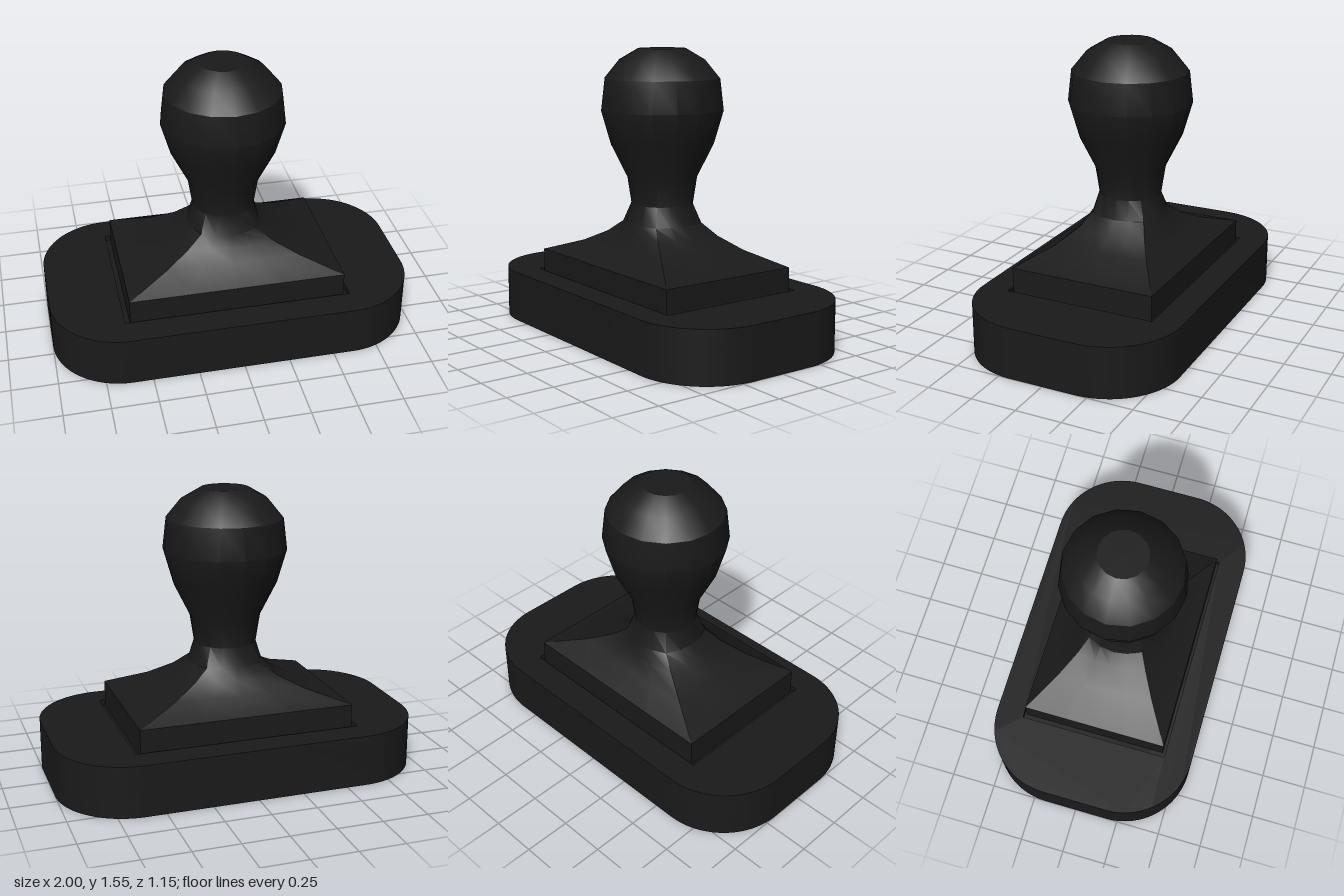
import * as THREE from 'three';
import { toCreasedNormals } from 'three/addons/utils/BufferGeometryUtils.js';

const material = new THREE.MeshStandardMaterial({ color: 0x1a1a1a });
const SIDES = 16;

function roundedOutline(hx, hz, r) {
  const s = new THREE.Shape();
  s.absarc(hx - r, hz - r, r, 0, Math.PI / 2);
  s.absarc(-hx + r, hz - r, r, Math.PI / 2, Math.PI);
  s.absarc(-hx + r, -hz + r, r, Math.PI, Math.PI * 1.5);
  s.absarc(hx - r, -hz + r, r, Math.PI * 1.5, Math.PI * 2);
  s.closePath();
  return s;
}

function slab(shape, y, height) {
  const g = new THREE.ExtrudeGeometry(shape, { depth: height, bevelEnabled: false, curveSegments: 16 });
  g.rotateX(-Math.PI / 2).translate(0, y, 0);
  return toCreasedNormals(g, 0.6);
}

// Lofts rings that morph from a rectangle (square = 1) to a circle (square = 0)
function loft(rings) {
  const pos = [], index = [];
  for (const [y, hx, hz, square] of rings) {
    for (let i = 0; i < SIDES; i++) {
      const a = (i / SIDES) * Math.PI * 2;
      const c = Math.cos(a), s = Math.sin(a);
      const k = THREE.MathUtils.lerp(1, 1 / Math.max(Math.abs(c), Math.abs(s)), square);
      pos.push(c * k * hx, y, s * k * hz);
    }
  }
  for (let j = 0; j < rings.length - 1; j++) {
    for (let i = 0; i < SIDES; i++) {
      const n = (i + 1) % SIDES;
      const a = j * SIDES + i, b = a + SIDES, d = j * SIDES + n, c = d + SIDES;
      index.push(a, b, c, a, c, d);
    }
  }
  // Flat cap on the top
  const last = (rings.length - 1) * SIDES;
  pos.push(0, rings[rings.length - 1][0], 0);
  for (let i = 0; i < SIDES; i++) index.push(last + SIDES, last + (i + 1) % SIDES, last + i);

  const g = new THREE.BufferGeometry();
  g.setAttribute('position', new THREE.Float32BufferAttribute(pos, 3));
  g.setIndex(index);
  return toCreasedNormals(g, 0.5);
}

export function createModel() {
  const model = new THREE.Group();
  model.name = 'handStamp';
  const add = (name, geometry) => {
    const mesh = new THREE.Mesh(geometry, material);
    mesh.name = name;
    model.add(mesh);
  };

  // Rounded base, with a shallow recess around the foot of the handle
  add('base', slab(roundedOutline(1, 0.575, 0.39), 0, 0.25));
  const rim = roundedOutline(1, 0.575, 0.39);
  rim.holes.push(new THREE.Path([
    new THREE.Vector2(-0.62, -0.42), new THREE.Vector2(-0.62, 0.42),
    new THREE.Vector2(0.62, 0.42), new THREE.Vector2(0.62, -0.42),
  ]));
  add('baseRim', slab(rim, 0.25, 0.03));

  // Handle: rectangular foot, narrow neck, round knob [y, halfX, halfZ, squareness]
  add('handle', loft([
    [0.25, 0.59, 0.405, 1],
    [0.40, 0.59, 0.405, 1],
    [0.475, 0.38, 0.28, 0.9],
    [0.54, 0.27, 0.225, 0.6],
    [0.605, 0.2, 0.2, 0.2],
    [0.71, 0.17, 0.17, 0],
    [0.86, 0.193, 0.193, 0],
    [1.04, 0.283, 0.283, 0],
    [1.22, 0.335, 0.335, 0],
    [1.39, 0.315, 0.315, 0],
    [1.49, 0.233, 0.233, 0],
    [1.55, 0.13, 0.13, 0],
  ]));
  return model;
}
